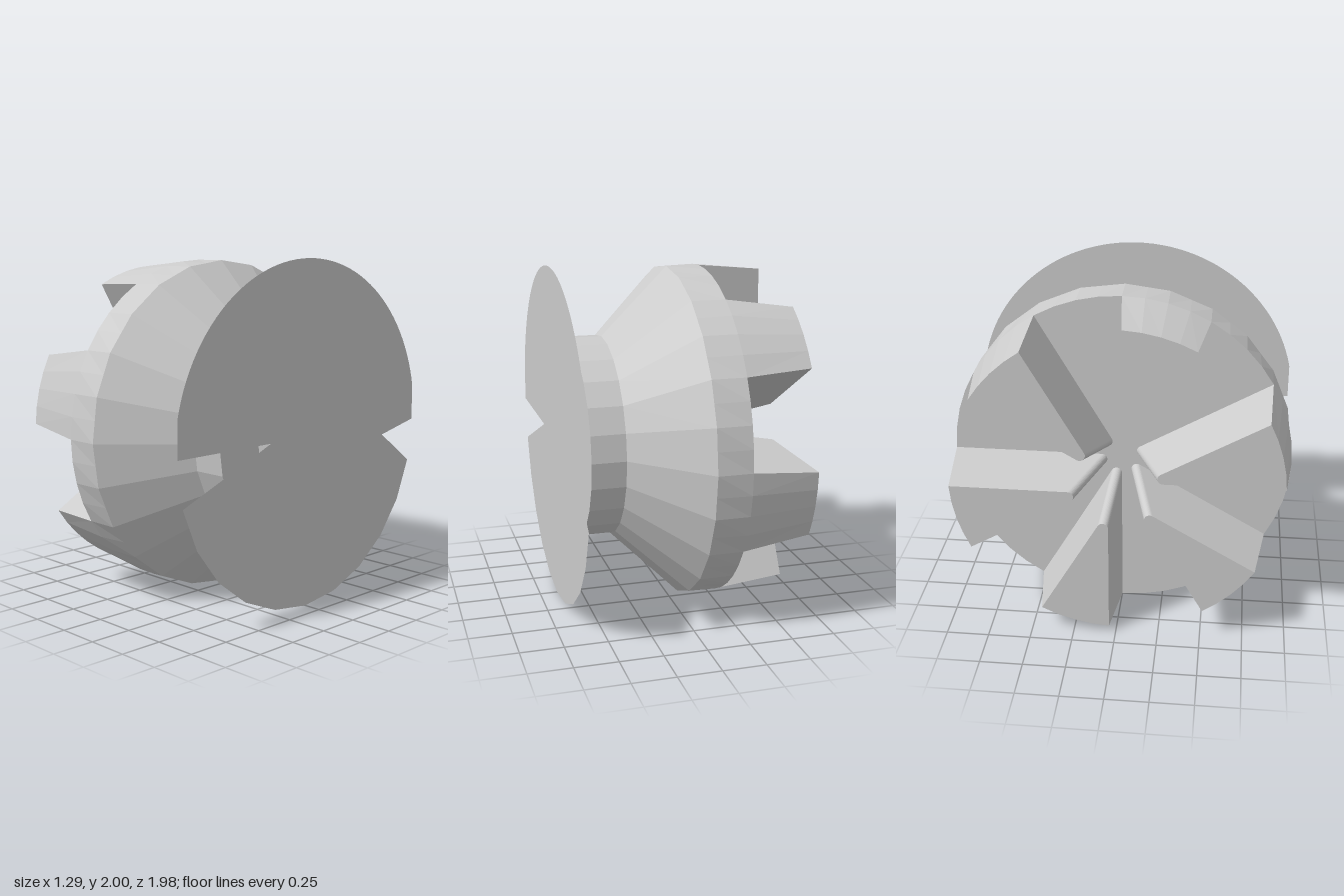
import * as THREE from 'three';

const RAD = Math.PI / 180;
const R = 0.99; // outer radius, also the height of the axis
const TIP = -0.645, ROOT = -0.25, END = 0.645;

const grey = new THREE.MeshStandardMaterial({ color: 0xcccccc, flatShading: true });
const thin = new THREE.MeshStandardMaterial({ color: 0xcccccc, side: THREE.DoubleSide });

// Round section along local z from z0 to z1
function round(name, r0, r1, z0, z1, sides) {
  const g = new THREE.CylinderGeometry(r1, r0, z1 - z0, sides);
  g.rotateX(Math.PI / 2).translate(0, 0, (z0 + z1) / 2);
  const m = new THREE.Mesh(g, grey);
  m.name = name;
  return m;
}

// Rim: 48 sides at the teeth, merging into the 24 sides of the cone
function rim() {
  const m = round('rim', R, R, ROOT, -0.05, 48);
  const p = m.geometry.attributes.position;
  for (let i = 0; i < p.count; i++) {
    const step = Math.round(Math.atan2(p.getY(i), p.getX(i)) / (7.5 * RAD));
    if (p.getZ(i) > -0.1 && step % 2 !== 0) {
      const k = Math.cos(7.5 * RAD);
      p.setXY(i, p.getX(i) * k, p.getY(i) * k);
    }
  }
  return m;
}

// Wedge outline drawn in by a draft offset, with a rounded inner tip
function wedge(offset) {
  const half = 15 * RAD, fillet = 0.032, r = R - offset, pts = [];
  const phi = half - Math.asin(offset / r);
  for (let i = 0; i <= 4; i++) {
    const a = phi * (i / 2 - 1);
    pts.push([r * Math.cos(a), r * Math.sin(a)]);
  }
  const cx = (offset + fillet) / Math.sin(half);
  for (let i = 0; i <= 12; i++) {
    const a = (105 + 150 * i / 12) * RAD;
    pts.push([cx + fillet * Math.cos(a), fillet * Math.sin(a)]);
  }
  return pts;
}

// Drafted clutch tooth lofted from root to tip
function toothGeometry() {
  const root = wedge(0), tip = wedge(0.04), n = root.length;
  const pos = [], index = [];
  root.forEach(p => pos.push(p[0], p[1], ROOT));
  tip.forEach(p => pos.push(p[0], p[1], TIP));
  for (let i = 0; i < n; i++) {
    const j = (i + 1) % n;
    index.push(i, n + i, n + j, i, n + j, j);
    if (i > 0 && i < n - 1) index.push(n, n + i + 1, n + i);
  }
  const g = new THREE.BufferGeometry();
  g.setAttribute('position', new THREE.Float32BufferAttribute(pos, 3));
  g.setIndex(index);
  const flat = g.toNonIndexed();
  flat.computeVertexNormals();
  return flat;
}

// Thin end plate with two notches and a rounder upper half
function plate() {
  const s = new THREE.Shape();
  const low = d => [R * Math.cos(d * RAD), R * Math.sin(d * RAD)];
  s.moveTo(...low(-15));
  for (let d = -30; d >= -165; d -= 15) s.lineTo(...low(d));
  s.lineTo(-0.297, 0.005);
  s.lineTo(-0.99, 0.005);
  for (let d = 168; d >= 12; d -= 3) {
    s.lineTo(1.01 * Math.cos(d * RAD), 0.01 + Math.sin(d * RAD));
  }
  s.lineTo(0.99, 0);
  s.lineTo(0.69, -0.065);
  s.closePath();
  const m = new THREE.Mesh(new THREE.ShapeGeometry(s), thin);
  m.name = 'endPlate';
  m.position.z = END;
  return m;
}

export function createModel() {
  const model = new THREE.Group();
  model.name = 'toothedCoupling';

  // Parts are laid along local z, then turned onto the x axis
  const body = new THREE.Group();
  body.name = 'couplingBody';
  body.position.y = R;
  body.rotation.y = Math.PI / 2;
  model.add(body);

  body.add(
    rim(),
    round('cone', R, 0.594, -0.05, 0.345, 24),
    round('collar', 0.594, 0.594, 0.345, 0.545, 24),
    round('spigot', 0.297, 0.297, 0.545, END - 0.002, 24),
    plate()
  );

  // Six teeth around the open end
  const geometry = toothGeometry();
  for (let k = 0; k < 6; k++) {
    const tooth = new THREE.Mesh(geometry, grey);
    tooth.name = 'tooth' + (k + 1);
    tooth.rotation.z = (45 + 60 * k) * RAD;
    body.add(tooth);
  }
  return model;
}
